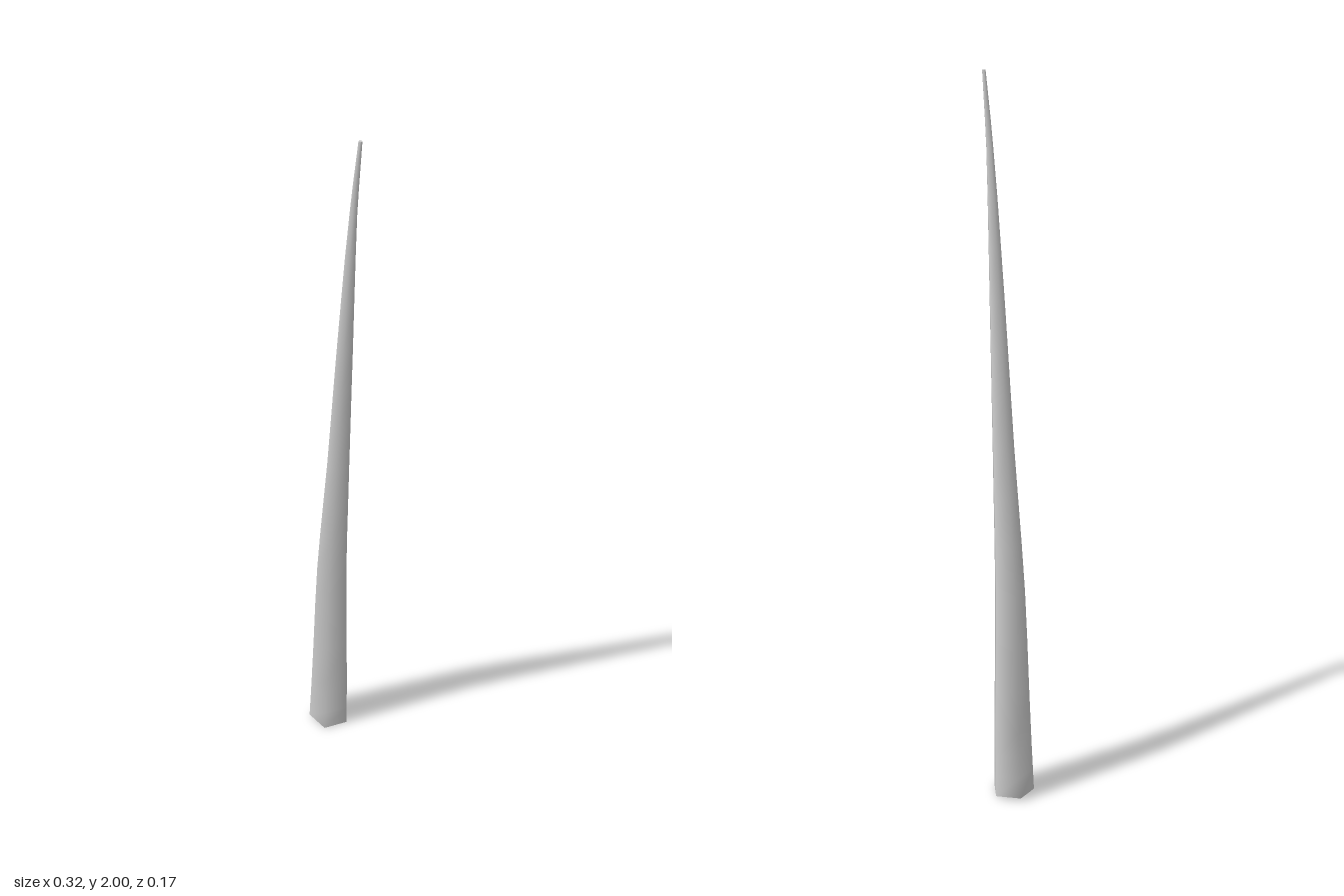
import * as THREE from 'three';

const SIDES = 5;

// Leaning centreline: x, y, z and radius
const STATIONS = [
  [-0.10, 0.007, -0.026, 0.061],
  [-0.085, 0.2, -0.02, 0.056],
  [-0.052, 0.6, -0.002, 0.045],
  [0.006, 1.0, 0.023, 0.032],
  [0.066, 1.4, 0.051, 0.022],
  [0.122, 1.8, 0.073, 0.01],
  [0.153, 1.999, 0.079, 0.005],
];

// Five-sided ring, tilted square to the centreline
function ring(centre, tangent, radius) {
  const points = [];
  for (let i = 0; i < SIDES; i++) {
    const a = (i / SIDES) * Math.PI * 2;
    const dx = Math.sin(a) * radius;
    const dz = -Math.cos(a) * radius;
    const dy = -(dx * tangent.x + dz * tangent.z) / tangent.y;
    points.push(new THREE.Vector3(centre.x + dx, centre.y + dy, centre.z + dz));
  }
  return points;
}

function geometryFrom(points, index) {
  const geometry = new THREE.BufferGeometry().setFromPoints(points);
  geometry.setIndex(index);
  geometry.computeVertexNormals();
  return geometry;
}

export function createModel() {
  const group = new THREE.Group();
  group.name = 'taperedStalk';
  const material = new THREE.MeshStandardMaterial({ color: 0xcccccc, side: THREE.DoubleSide });

  const path = new THREE.CatmullRomCurve3(STATIONS.map(([x, y, z]) => new THREE.Vector3(x, y, z)));
  const steps = (STATIONS.length - 1) * 3;
  const rings = [];
  for (let s = 0; s <= steps; s++) {
    const t = s / steps;
    const k = Math.min(Math.floor(s / 3), STATIONS.length - 2);
    const radius = THREE.MathUtils.lerp(STATIONS[k][3], STATIONS[k + 1][3], s / 3 - k);
    rings.push(ring(path.getPoint(t), path.getTangent(t), radius));
  }

  // Smooth skin between neighbouring rings
  const index = [];
  for (let s = 0; s < steps; s++) {
    for (let i = 0; i < SIDES; i++) {
      const j = (i + 1) % SIDES;
      const a = s * SIDES + i, b = s * SIDES + j;
      index.push(a, a + SIDES, b, b, a + SIDES, b + SIDES);
    }
  }
  const shaft = new THREE.Mesh(geometryFrom(rings.flat(), index), material);
  shaft.name = 'shaft';
  group.add(shaft);

  // Flat ends
  const base = new THREE.Mesh(geometryFrom(rings[0], [0, 1, 2, 0, 2, 3, 0, 3, 4]), material);
  base.name = 'baseEnd';
  const tip = new THREE.Mesh(geometryFrom(rings[steps], [0, 2, 1, 0, 3, 2, 0, 4, 3]), material);
  tip.name = 'tipEnd';
  group.add(base, tip);
  return group;
}
